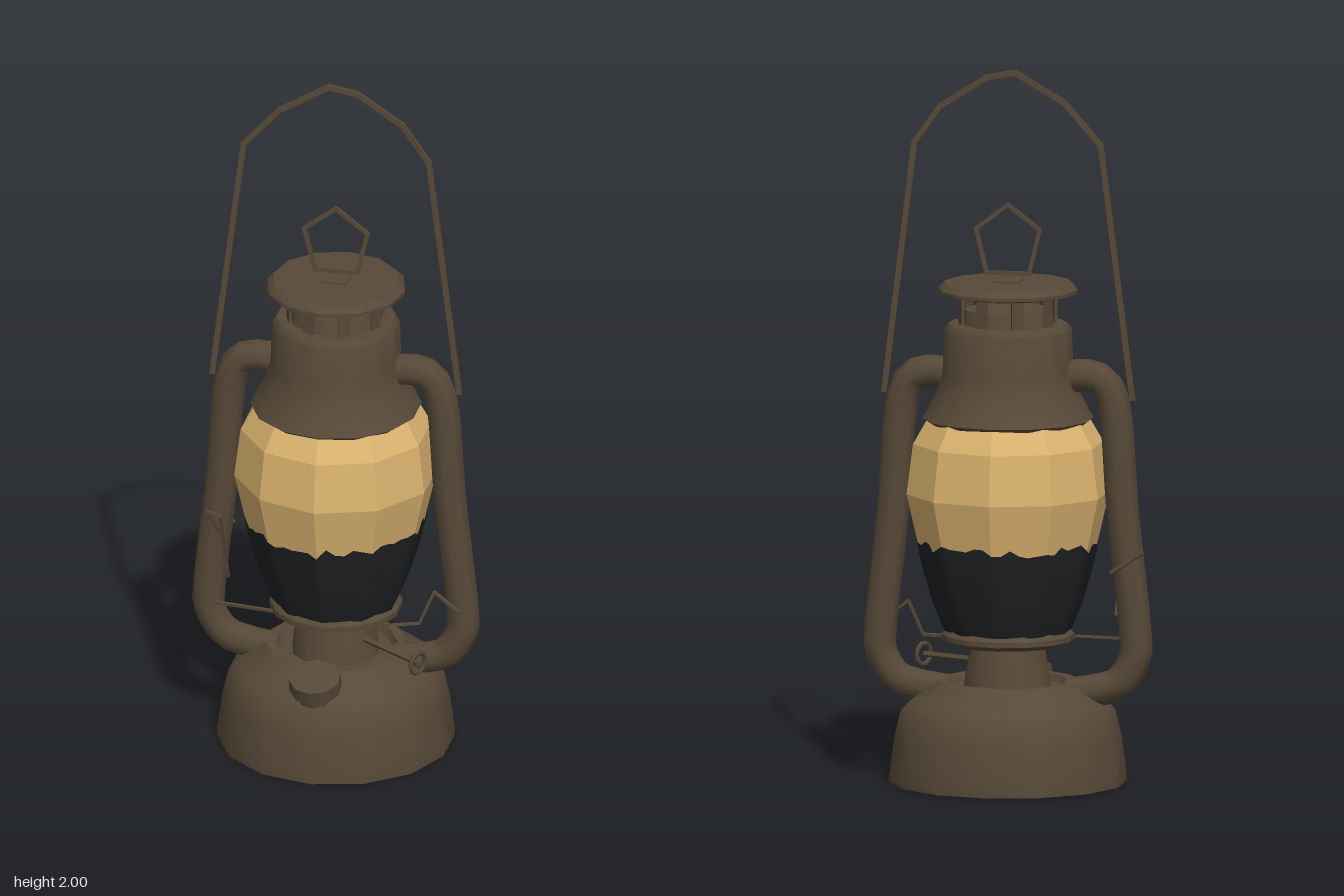
import * as THREE from 'three';
import { toCreasedNormals } from 'three/addons/utils/BufferGeometryUtils.js';

const mat = (name, color, extra = {}) => new THREE.MeshStandardMaterial({ name, color, ...extra });

export function createModel() {
  const lantern = new THREE.Group();
  lantern.name = 'lantern';
  const metal = mat('agedMetal', 0x574938);
  const wireMetal = mat('agedMetalSheet', 0x574938, { side: THREE.DoubleSide });
  const glass = mat('amberGlass', 0xdbb36f, { flatShading: true, side: THREE.DoubleSide });
  const soot = mat('soot', 0x1f2123, { side: THREE.DoubleSide });

  const add = (name, geo, material, parent = lantern) => {
    const mesh = new THREE.Mesh(geo, material);
    mesh.name = name;
    parent.add(mesh);
    return mesh;
  };
  const v = (p) => new THREE.Vector3(...p);
  const profile = (pts) => pts.map(([r, y]) => new THREE.Vector2(r, y));
  const turned = (name, pts, sides) =>
    add(name, toCreasedNormals(new THREE.LatheGeometry(profile(pts), sides), 0.65), metal);

  // Straight bars following a list of points
  const bars = (name, pts, width, depth = width, closed = false) => {
    const group = new THREE.Group();
    group.name = name;
    const last = closed ? pts.length : pts.length - 1;
    for (let i = 0; i < last; i++) {
      const a = v(pts[i]), b = v(pts[(i + 1) % pts.length]);
      const bar = add(name + 'Segment', new THREE.BoxGeometry(width, a.distanceTo(b) + width * 0.4, depth), metal, group);
      bar.position.copy(a).lerp(b, 0.5);
      bar.quaternion.setFromUnitVectors(new THREE.Vector3(0, 1, 0), b.sub(a).normalize());
    }
    lantern.add(group);
    return group;
  };

  // Fuel tank, burner neck and globe plate
  turned('fuelTank', [[0, 0.01], [0.33, 0.0], [0.33, 0.02], [0.315, 0.13], [0.298, 0.2], [0.275, 0.225],
    [0.21, 0.27], [0.195, 0.285], [0.17, 0.285], [0.16, 0.265], [0, 0.265]], 14);
  turned('burnerNeck', [[0.125, 0.26], [0.12, 0.3], [0.1, 0.4]], 12);
  turned('globePlate', [[0, 0.385], [0.15, 0.385], [0.185, 0.4], [0.185, 0.415], [0.165, 0.435], [0, 0.435]], 14);

  // Filler cap on the front slope of the tank
  const cap = new THREE.Group();
  cap.name = 'fillerCap';
  cap.position.set(-0.005, 0.25, 0.24);
  cap.rotation.x = 0.28;
  add('fillerCapRim', toCreasedNormals(new THREE.CylinderGeometry(0.073, 0.073, 0.04, 10), 0.7), metal, cap).position.y = 0.025;
  add('fillerCapStem', toCreasedNormals(new THREE.CylinderGeometry(0.055, 0.055, 0.06, 10), 0.7), metal, cap).position.y = -0.02;
  lantern.add(cap);

  // Ten-sided glass globe
  const globe = [[0.175, 0.43], [0.205, 0.5], [0.232, 0.59], [0.247, 0.65], [0.284, 0.81], [0.266, 0.95], [0.22, 1.03]];
  add('glassGlobe', new THREE.LatheGeometry(profile(globe), 10), glass);

  // Soot coat hugging the lower globe, with a ragged upper edge
  const sides = 60;
  const coat = new THREE.LatheGeometry(profile([[0.178, 0.425], [0.209, 0.5], [0.236, 0.59], [0.25, 0.65], [0.255, 0.67]]), sides);
  const pos = coat.attributes.position;
  let seed = 7;
  const jag = Array.from({ length: sides }, () => {
    seed = (seed * 16807) % 2147483647;
    return seed / 2147483647;
  });
  for (let i = 0; i <= sides; i++) {
    const a = (i * 2 * Math.PI) / sides;
    const f = Math.cos(Math.PI / 10) / Math.cos((a % (Math.PI / 5)) - Math.PI / 10);
    for (let j = 0; j < 5; j++) {
      const k = i * 5 + j;
      pos.setX(k, pos.getX(k) * f);
      pos.setZ(k, pos.getZ(k) * f);
      if (j === 4) pos.setY(k, 0.656 + 0.03 * jag[i % sides]);
    }
  }
  coat.computeVertexNormals();
  add('sootCoat', coat, soot);

  // Hood, vent collar, vent posts and lid
  turned('hood', [[0, 1.025], [0.225, 1.01], [0.238, 1.02], [0.225, 1.04], [0.196, 1.1], [0.182, 1.15],
    [0.177, 1.27], [0.165, 1.285], [0.13, 1.285], [0.12, 1.325], [0, 1.325]], 14);
  for (let i = 0; i < 8; i++) {
    const a = ((i + 0.5) * Math.PI) / 4;
    const post = add('ventPost', new THREE.BoxGeometry(0.035, 0.09, 0.008), metal);
    post.position.set(0.132 * Math.sin(a), 1.325, 0.132 * Math.cos(a));
    post.rotation.y = a;
  }
  turned('lid', [[0, 1.36], [0.135, 1.36], [0.196, 1.372], [0.196, 1.382], [0.178, 1.4], [0, 1.402]], 12);

  // Side air tubes
  for (const s of [-1, 1]) {
    const path = new THREE.CatmullRomCurve3([[0.13, 1.13], [0.22, 1.145], [0.268, 1.13], [0.295, 1.08], [0.325, 0.75], [0.36, 0.42],
      [0.36, 0.36], [0.315, 0.285], [0.25, 0.262], [0.17, 0.25]].map(([x, y]) => v([s * x, y, 0])), false, 'centripetal');
    add('airTube', new THREE.TubeGeometry(path, 36, 0.046, 8), metal);
  }

  // Carrying bail and lifting ring
  bars('carryHandle', [[-0.35, 1.08, 0.006], [-0.262, 1.79, 0], [-0.16, 1.905, 0.004], [-0.02, 1.988, 0], [0.06, 1.973, -0.003],
    [0.19, 1.89, 0], [0.265, 1.785, 0.003], [0.35, 1.085, 0]], 0.016, 0.008);
  bars('liftRing', [[0, 1.617, 0], [-0.09, 1.548, 0], [-0.06, 1.425, 0], [0.06, 1.425, 0], [0.09, 1.548, 0]], 0.012, 0.008, true);
  add('liftRingClip', new THREE.BoxGeometry(0.075, 0.006, 0.075), metal).position.y = 1.403;

  // Globe lifting wires and lever
  bars('globeWire', [[-0.33, 0.4, 0.06], [-0.17, 0.4, 0.08], [0.17, 0.39, 0.08], [0.25, 0.395, 0.06], [0.29, 0.49, 0.05], [0.36, 0.44, 0.06]], 0.008);
  bars('leverWire', [[-0.3, 0.47, 0.03], [-0.31, 0.68, 0.09], [-0.345, 0.69, 0.09], [-0.32, 0.62, 0.06]], 0.009);
  bars('backWire', [[-0.39, 0.66, -0.06], [-0.3, 0.6, -0.045]], 0.01);

  // Wick adjuster: rod from the neck to a small wheel
  bars('wickRod', [[0.08, 0.33, 0.05], [0.265, 0.325, 0.165]], 0.012);
  const wheel = add('wickWheel', new THREE.TorusGeometry(0.03, 0.007, 5, 10), wireMetal);
  wheel.position.set(0.27, 0.325, 0.168);
  wheel.rotation.y = Math.PI / 3;

  return lantern;
}
